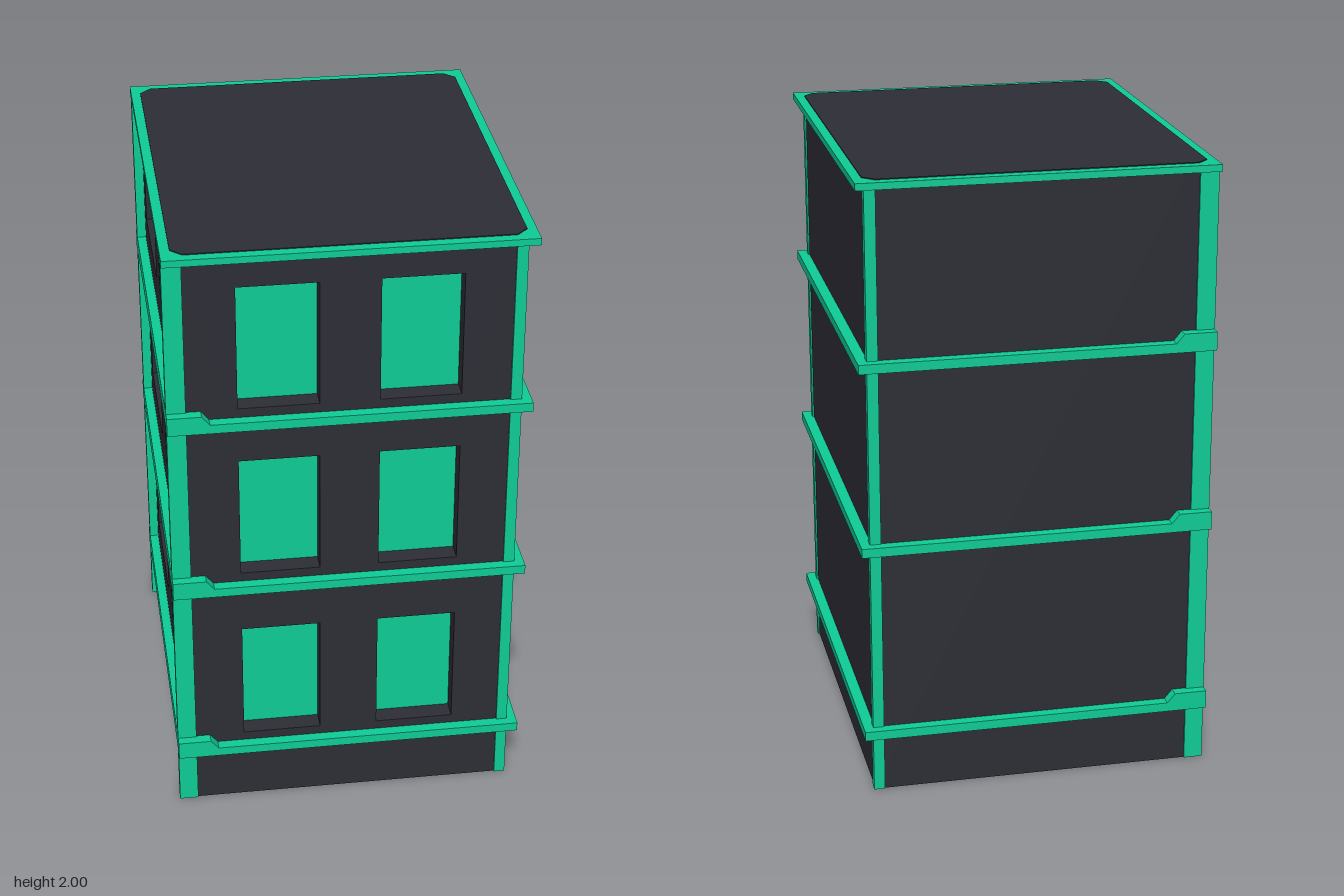
import * as THREE from 'three';

export function createModel() {
  const group = new THREE.Group();
  const dark = new THREE.MeshStandardMaterial({ color: 0x2d2d36 });
  dark.name = 'charcoal wall';
  const green = new THREE.MeshStandardMaterial({ color: 0x0ecd97 });
  green.name = 'bright green';

  const add = (name, geometry, material) => {
    const mesh = new THREE.Mesh(geometry, material);
    mesh.name = name;
    group.add(mesh);
    return mesh;
  };
  // Box given by its lower and upper corners
  const box = (name, material, x0, x1, y0, y1, z0, z1) =>
    add(name, new THREE.BoxGeometry(x1 - x0, y1 - y0, z1 - z0)
      .translate((x0 + x1) / 2, (y0 + y1) / 2, (z0 + z1) / 2), material);
  const rect = (path, x0, x1, y0, y1) =>
    path.moveTo(x0, y0).lineTo(x1, y0).lineTo(x1, y1).lineTo(x0, y1).closePath();

  const recess = 0.065, wallTop = 1.98;
  const floors = [0.19, 0.815, 1.41];           // underside of each ledge
  const windowTops = [0.66, 1.285, 1.88];

  // Wall sheet with two window openings per floor, from z = 0 back to -recess
  const wallGeometry = (a, b, inner, outer, height) => {
    const shape = new THREE.Shape();
    rect(shape, a, b, 0, wallTop);
    for (const top of windowTops)
      for (const s of [-1, 1]) {
        const hole = new THREE.Path();
        rect(hole, Math.min(s * inner, s * outer), Math.max(s * inner, s * outer), top - height, top);
        shape.holes.push(hole);
      }
    return new THREE.ExtrudeGeometry(shape, { depth: recess, bevelEnabled: false }).translate(0, 0, -recess);
  };

  // Walls: plain core, pierced front and pierced side
  box('buildingCore', dark, -0.53 + recess, 0.525, 0, wallTop, -0.62, 0.62 - recess);
  add('frontWall', wallGeometry(-0.53, 0.525, 0.093, 0.343, 0.41).translate(0, 0, 0.62), dark);
  add('sideWall', wallGeometry(-0.62, 0.62, 0.08, 0.52, 0.31)
    .rotateY(-Math.PI / 2).translate(-0.53, 0, 0), dark);

  // Window panes at the back of each recess
  for (const top of windowTops)
    for (const s of [-1, 1]) {
      const fx = s * 0.218, sz = s * 0.3, back = 0.62 - recess, side = -0.53 + recess;
      box('frontWindow', green, fx - 0.125, fx + 0.125, top - 0.41, top, back - 0.003, back + 0.004);
      box('sideWindow', green, side - 0.004, side + 0.003, top - 0.31, top, sz - 0.22, sz + 0.22);
    }

  // Corner posts
  for (const s of [-1, 1]) {
    const z0 = s > 0 ? 0.593 : -0.625, z1 = z0 + 0.032;
    box('narrowCornerPost', green, 0.495, 0.53, 0, wallTop, z0, z1);
    box('wideCornerPost', green, -0.56, -0.5, 0, wallTop, z0, z1);
  }

  // Floor ledges, each with a raised sill band along the windowed side
  for (const y of floors) {
    box('floorLedge', green, -0.56, 0.56, y, y + 0.03, -0.655, 0.655);
    const profile = new THREE.Shape();
    profile.moveTo(-0.56, y + 0.03).lineTo(-0.43, y + 0.03).lineTo(-0.455, y + 0.06)
      .lineTo(-0.56, y + 0.06).closePath();
    add('sillBand', new THREE.ExtrudeGeometry(profile, { depth: 1.31, bevelEnabled: false })
      .translate(0, 0, -0.655), green);
  }

  // Roof slab with a dark panel that has clipped corners
  box('roofSlab', green, -0.56, 0.56, 1.975, 1.997, -0.655, 0.655);
  const panel = new THREE.Shape(), w = 0.53, d = 0.622, c = 0.035;
  panel.moveTo(-w + c, -d).lineTo(w - c, -d).lineTo(w, -d + c).lineTo(w, d - c)
    .lineTo(w - c, d).lineTo(-w + c, d).lineTo(-w, d - c).lineTo(-w, -d + c).closePath();
  add('roofPanel', new THREE.ExtrudeGeometry(panel, { depth: 0.006, bevelEnabled: false })
    .rotateX(-Math.PI / 2).translate(0, 1.994, 0), dark);

  return group;
}
